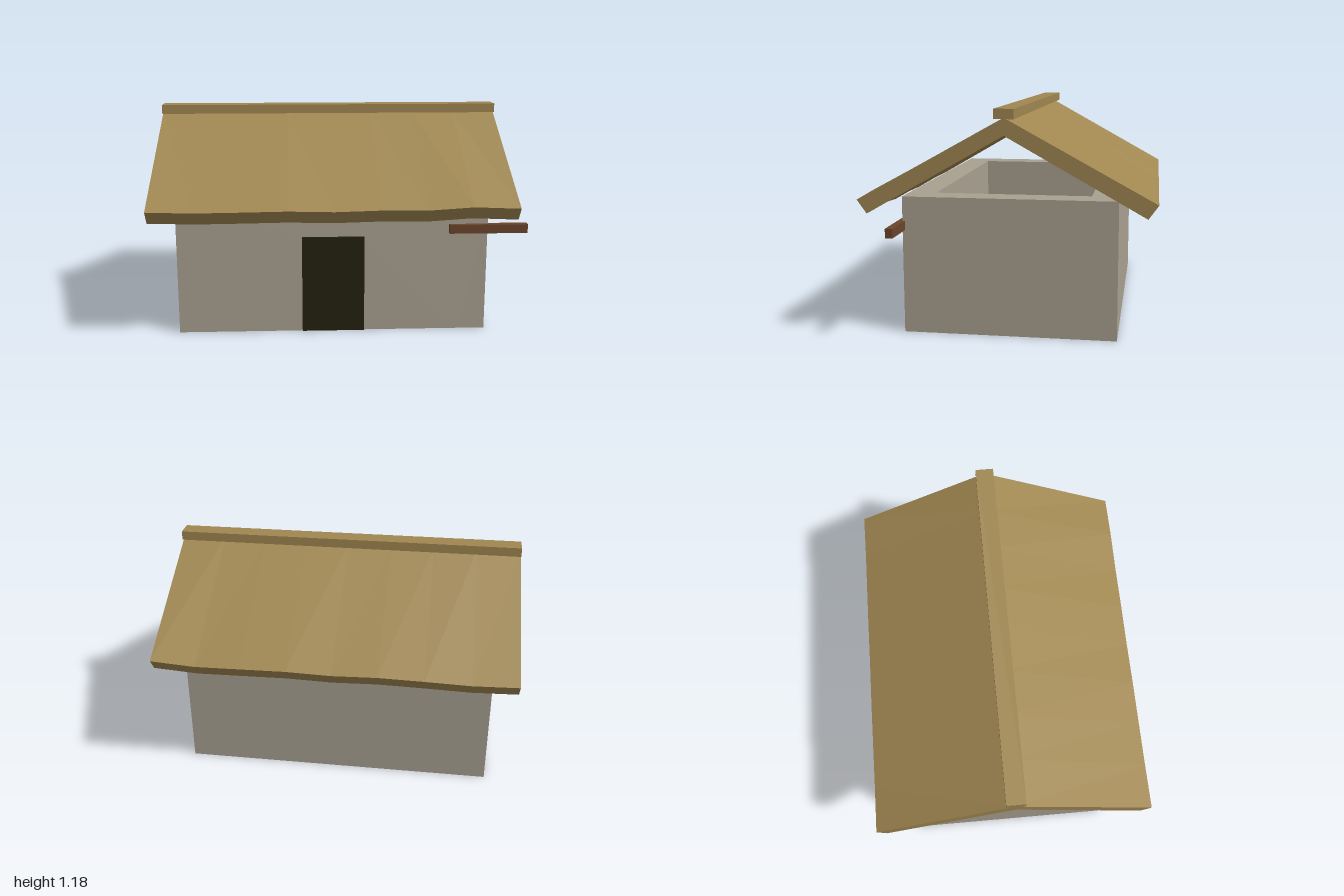
import * as THREE from 'three';

const mat = (name, color) => {
  const m = new THREE.MeshStandardMaterial({ color });
  m.name = name;
  return m;
};

// Box given by its minimum and maximum on each axis
function block(name, material, [x0, x1], [y0, y1], [z0, z1]) {
  const mesh = new THREE.Mesh(new THREE.BoxGeometry(x1 - x0, y1 - y0, z1 - z0), material);
  mesh.position.set((x0 + x1) / 2, (y0 + y1) / 2, (z0 + z1) / 2);
  mesh.name = name;
  return mesh;
}

// Sloping slab whose eave rises and dips along its length; side is +1 (front) or -1 (back)
function roofSlab(eave, side) {
  const x0 = -1, x1 = 0.915, n = eave.length - 1;
  const positions = [];
  const sections = eave.map((y, i) => {
    const x = x0 + (x1 - x0) * i / n;
    return [[0, 1.137], [0.75, y], [0.70, y - 0.07], [0, 1.05]]
      .map(([z, py]) => [x, py, z * side]);
  });
  const tri = (a, b, c) => positions.push(...a, ...(side > 0 ? b : c), ...(side > 0 ? c : b));
  const quad = (a, b, c, d) => { tri(a, b, c); tri(a, c, d); };
  for (let i = 0; i < n; i++) {
    const s = sections[i], t = sections[i + 1];
    for (let j = 0; j < 3; j++) quad(s[j], s[j + 1], t[j + 1], t[j]);
  }
  const first = sections[0], last = sections[n];
  quad(first[3], first[2], first[1], first[0]);
  quad(last[0], last[1], last[2], last[3]);
  const g = new THREE.BufferGeometry();
  g.setAttribute('position', new THREE.Float32BufferAttribute(positions, 3));
  g.computeVertexNormals();
  return g;
}

export function createModel() {
  const plaster = mat('plaster', 0xa9a191);
  const thatch = mat('thatch', 0xa08751);
  const darkWood = mat('darkWood', 0x23210f);
  const brownWood = mat('brownWood', 0x6b452b);
  thatch.side = THREE.DoubleSide;

  const model = new THREE.Group();
  model.name = 'cottage';

  // Walls: hollow, open above and below
  const L = -0.877, R = 0.788, D = 0.555, H = 0.72, T = 0.145;
  const walls = new THREE.Group();
  walls.name = 'walls';
  walls.add(
    block('wallRightEnd', plaster, [L, L + T], [0, H], [-D, D]),
    block('wallLeftEnd', plaster, [R - T, R], [0, H], [-D, D]),
    block('wallBack', plaster, [L + T, R - T], [0, H], [-D, -D + T])
  );

  // Front wall with the doorway cut out of its lower edge
  const d0 = -0.21, d1 = 0.125, dTop = 0.53;
  const outline = new THREE.Shape([
    [L + T, 0], [d0, 0], [d0, dTop], [d1, dTop], [d1, 0], [R - T, 0], [R - T, H], [L + T, H]
  ].map(p => new THREE.Vector2(...p)));
  const front = new THREE.Mesh(
    new THREE.ExtrudeGeometry(outline, { depth: T, bevelEnabled: false }), plaster);
  front.position.z = D - T;
  front.name = 'wallFront';
  walls.add(front);
  model.add(walls);

  // Door leaf and the projecting pole beside it
  model.add(
    block('door', darkWood, [d0, d1], [0.003, dTop], [0.558, 0.57]),
    block('pole', brownWood, [0.58, 1], [0.545, 0.593], [0.542, 0.58])
  );

  // Roof
  const roof = new THREE.Group();
  roof.name = 'roof';
  const eaves = {
    roofFront: [[0.72, 0.713, 0.715, 0.718, 0.712, 0.718, 0.715, 0.73, 0.72], 1],
    roofBack: [[0.72, 0.712, 0.718, 0.722, 0.714, 0.72, 0.716, 0.712, 0.728], -1]
  };
  for (const [name, [eave, side]] of Object.entries(eaves)) {
    const slab = new THREE.Mesh(roofSlab(eave, side), thatch);
    slab.name = name;
    roof.add(slab);
  }
  roof.add(block('ridgeCap', thatch, [-1, 0.915], [1.13, 1.18], [-0.05, 0.05]));
  model.add(roof);

  return model;
}
